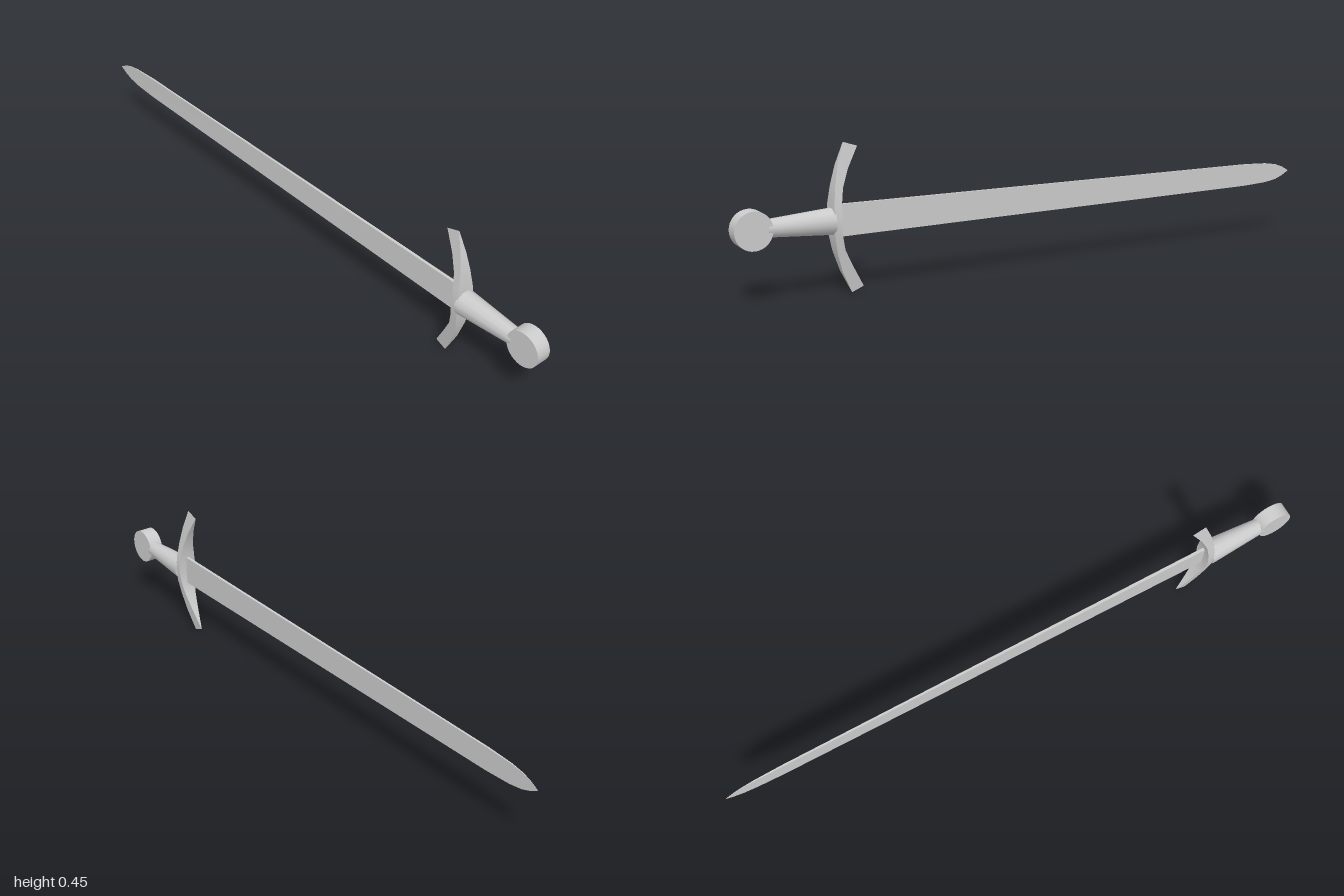
import * as THREE from 'three';
import { toCreasedNormals } from 'three/addons/utils/BufferGeometryUtils.js';

const AXIS_Y = 0.222;

// Lofts rectangular sections; each is [ax, ay, bx, by, halfDepth].
function loft(sections, crease) {
  const pos = [];
  const index = [];
  for (const [ax, ay, bx, by, h] of sections) {
    pos.push(ax, ay, h, bx, by, h, bx, by, -h, ax, ay, -h);
  }
  const quad = (a, b, c, d) => index.push(a, b, c, a, c, d);
  for (let i = 0; i < sections.length - 1; i++) {
    for (let k = 0; k < 4; k++) {
      const n = (k + 1) % 4;
      quad(i * 4 + k, i * 4 + 4 + k, i * 4 + 4 + n, i * 4 + n);
    }
  }
  const e = (sections.length - 1) * 4;
  quad(0, 1, 2, 3);
  quad(e + 3, e + 2, e + 1, e);
  const geo = new THREE.BufferGeometry();
  geo.setAttribute('position', new THREE.Float32BufferAttribute(pos, 3));
  geo.setIndex(index);
  return toCreasedNormals(geo, crease);
}

export function createModel() {
  const group = new THREE.Group();
  const material = new THREE.MeshStandardMaterial({ color: 0xcccccc });
  const add = (name, geometry) => {
    const mesh = new THREE.Mesh(geometry, material);
    mesh.name = name;
    group.add(mesh);
    return mesh;
  };

  // Blade: thin tapering bar with a rounded point, [x, halfWidth, halfDepth]
  const blade = [
    [-1, 0.001, 0.0003], [-0.975, 0.015, 0.0006], [-0.945, 0.026, 0.001],
    [-0.9, 0.033, 0.0018], [-0.81, 0.037, 0.003], [0.685, 0.048, 0.005],
  ];
  add('blade', loft(blade.map(([x, w, h]) => [x, AXIS_Y - w, x, AXIS_Y + w, h]), 0.4));

  // Crossguard: curves toward the blade and thins to an edge at both ends
  add('crossguard', loft([
    [0.645, 0.003, 0.608, 0.018, 0.0005],
    [0.677, 0.07, 0.642, 0.08, 0.011],
    [0.695, 0.13, 0.67, 0.135, 0.02],
    [0.703, 0.18, 0.68, 0.18, 0.028],
    [0.705, 0.222, 0.682, 0.222, 0.033],
    [0.704, 0.27, 0.681, 0.27, 0.028],
    [0.697, 0.325, 0.673, 0.32, 0.02],
    [0.684, 0.385, 0.652, 0.375, 0.011],
    [0.662, 0.45, 0.618, 0.436, 0.0005],
  ], 0.6));

  // Grip: tapered handle, narrowing toward the pommel
  const grip = new THREE.CylinderGeometry(0.026, 0.04, 0.2, 12);
  grip.rotateY(Math.PI / 12).rotateZ(-Math.PI / 2);
  add('grip', grip).position.set(0.8, AXIS_Y, 0);

  // Pommel: flat disc facing front and back
  const pommel = new THREE.CylinderGeometry(0.057, 0.057, 0.048, 32);
  pommel.rotateX(Math.PI / 2);
  add('pommel', pommel).position.set(0.943, AXIS_Y, 0);

  return group;
}
